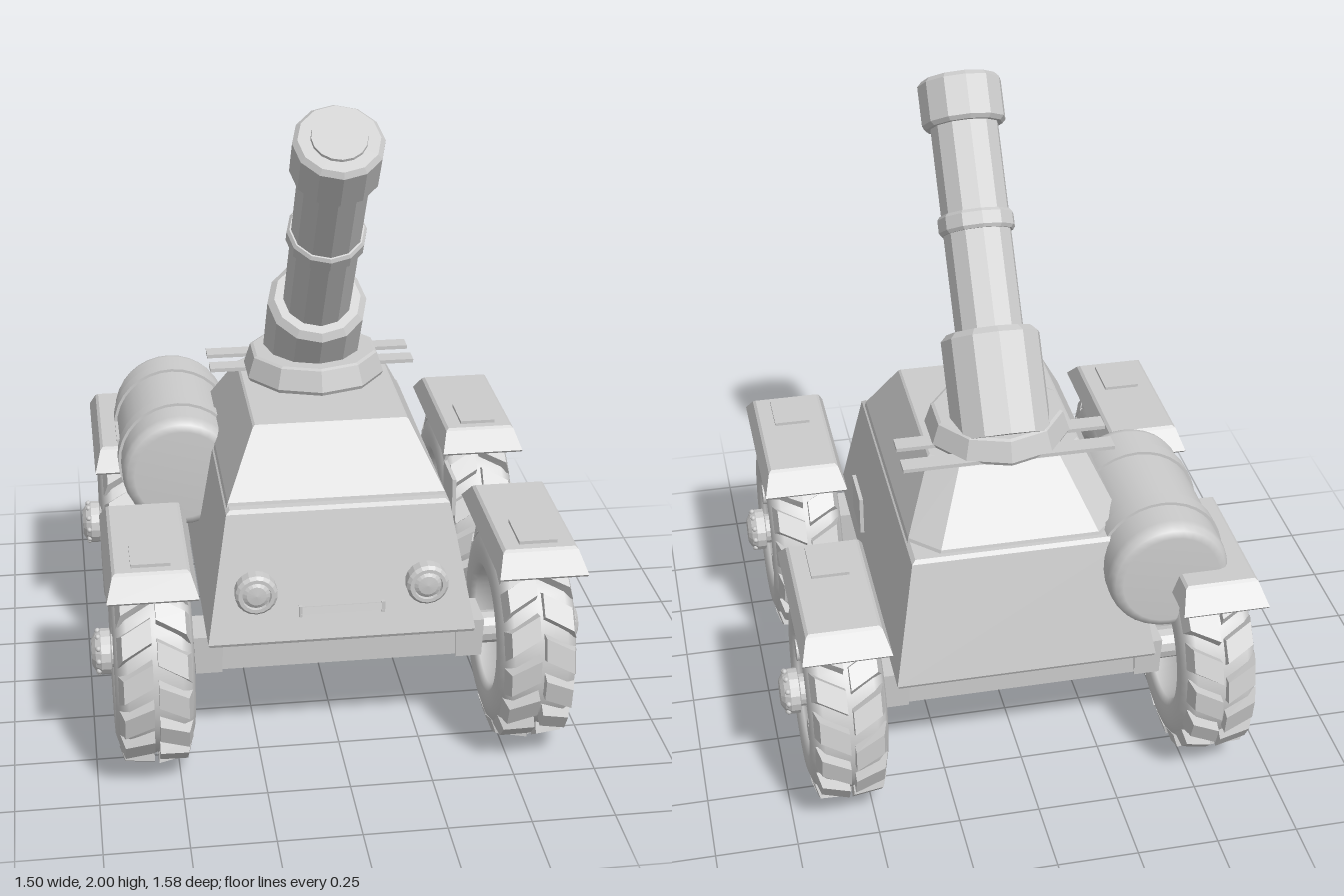
import * as THREE from 'three';

const smooth = new THREE.MeshStandardMaterial({ color: 0xcccccc });
const faceted = new THREE.MeshStandardMaterial({ color: 0xcccccc, flatShading: true });

function add(parent, name, geometry, x = 0, y = 0, z = 0, material = faceted) {
  const mesh = new THREE.Mesh(geometry, material);
  mesh.name = name;
  mesh.position.set(x, y, z);
  parent.add(mesh);
  return mesh;
}

const box = (w, h, d) => new THREE.BoxGeometry(w, h, d);
const lathe = (pts, n) => new THREE.LatheGeometry(pts.map(p => new THREE.Vector2(...p)), n);
const rect = (x, front, back) => [[-x, front], [x, front], [x, back], [-x, back]];

// Closed solid through horizontal loops: layers are [y, [[x, z], ...]]
function loft(layers) {
  const pos = [];
  const n = layers[0][1].length;
  const at = (l, i) => [layers[l][1][i % n][0], layers[l][0], layers[l][1][i % n][1]];
  const top = layers.length - 1;
  for (let l = 0; l < top; l++)
    for (let i = 0; i < n; i++) {
      const a = at(l, i), b = at(l, i + 1), c = at(l + 1, i + 1), d = at(l + 1, i);
      pos.push(...a, ...b, ...c, ...a, ...c, ...d);
    }
  for (let i = 1; i < n - 1; i++) {
    pos.push(...at(0, 0), ...at(0, i + 1), ...at(0, i));
    pos.push(...at(top, 0), ...at(top, i), ...at(top, i + 1));
  }
  const g = new THREE.BufferGeometry();
  g.setAttribute('position', new THREE.Float32BufferAttribute(pos, 3));
  g.computeVertexNormals();
  return g;
}

// Slanted tread block: shear along the travel direction, narrower at the top
function lugGeometry(row) {
  const g = box(0.092, 0.055, 0.088);
  const p = g.attributes.position;
  for (let i = 0; i < p.count; i++) {
    const outer = p.getX(i) * row > 0, up = p.getY(i) > 0;
    const x = row * (outer ? (up ? 0.094 : 0.108) : 0.008);
    const z = p.getZ(i) * (up ? 0.8 : 1) + (Math.abs(x) - 0.055) * 0.55;
    p.setXYZ(i, x, up ? (outer ? 0.331 : 0.34) : 0.285, z);
  }
  return g;
}

function wheel(name, side) {
  const g = new THREE.Group();
  g.name = name;
  // Tyre and rim in one turned profile, hollow on the inner side
  const profile = [[0, 0.0], [0.165, 0.0], [0.18, -0.1], [0.2, -0.115], [0.25, -0.118], [0.29, -0.105],
    [0.308, -0.08], [0.312, 0], [0.308, 0.08], [0.29, 0.105], [0.25, 0.118], [0.205, 0.115], [0.19, 0.1],
    [0.182, 0.085], [0.165, 0.09], [0.15, 0.085], [0.143, 0.068], [0.08, 0.068], [0.07, 0.075], [0, 0.075]];
  const tyre = add(g, 'tyreAndRim', lathe(profile, 40), 0, 0, 0, smooth);
  tyre.rotation.z = -side * Math.PI / 2;
  // Two staggered rows of lugs
  for (const row of [-1, 1]) {
    const geo = lugGeometry(row);
    for (let i = 0; i < 16; i++) {
      const lug = add(g, 'treadLug', geo);
      lug.rotation.x = -(i + (row * side > 0 ? 0.5 : 0)) * Math.PI / 8;
    }
  }
  // Hub cap with a ring of small bolts
  const hub = add(g, 'hubCap', lathe([[0.05, 0.06], [0.05, 0.118], [0.07, 0.122], [0.07, 0.15],
    [0.058, 0.167], [0.04, 0.178], [0, 0.178]], 16));
  hub.rotation.z = -side * Math.PI / 2;
  const boltGeo = new THREE.SphereGeometry(0.009, 8, 6);
  for (let i = 0; i < 10; i++) {
    const a = i * Math.PI / 5;
    add(g, 'hubBolt', boltGeo, side * 0.158, 0.064 * Math.sin(a), 0.064 * Math.cos(a), smooth);
  }
  // Two large studs on the rim disc
  for (const s of [-1, 1]) {
    const stud = add(g, 'rimStud', new THREE.CylinderGeometry(0.034, 0.034, 0.05, 16),
      side * 0.085, s * 0.053, s * 0.13, smooth);
    stud.rotation.z = Math.PI / 2;
  }
  return g;
}

export function createModel() {
  const model = new THREE.Group();
  model.name = 'armouredBuggy';

  // Hull and cabin
  add(model, 'hull', loft([
    [0.4, rect(0.4, 0.57, -0.575)], [0.41, rect(0.405, 0.575, -0.58)],
    [0.79, rect(0.337, 0.475, -0.49)], [0.8, rect(0.325, 0.463, -0.478)]]));
  const cabinLoop = (x, f, b, c) => [[-x, f], [x, f], [x, b + c], [x - c, b], [c - x, b], [-x, b + c]];
  add(model, 'cabin', loft([
    [0.79, cabinLoop(0.333, 0.44, -0.465, 0.085)], [0.81, cabinLoop(0.328, 0.435, -0.46, 0.085)],
    [0.995, cabinLoop(0.237, 0.305, -0.305, 0.08)], [1.0, cabinLoop(0.23, 0.3, -0.298, 0.08)]]));

  // Headlights and front slot
  for (const s of [-1, 1]) {
    const light = add(model, s > 0 ? 'leftHeadlight' : 'rightHeadlight',
      lathe([[0.05, -0.05], [0.055, 0.0], [0.064, 0.01], [0.064, 0.045], [0.055, 0.055],
        [0.044, 0.055], [0.042, 0.045], [0.03, 0.052], [0, 0.055]], 18), s * 0.258, 0.565, 0.52);
    light.rotation.x = Math.PI / 2;
  }
  const slot = add(model, 'frontSlot', box(0.25, 0.022, 0.016), 0, 0.497, 0.551);
  slot.rotation.x = -0.25;
  for (const s of [-1, 1]) add(model, 'slotEnd', box(0.01, 0.035, 0.02), s * 0.125, 0.497, 0.551);

  // Thin plate on the left side
  add(model, 'sidePlate', box(0.012, 0.125, 0.15), 0.415, 0.647, 0.08);

  // Axles, wheels and fenders
  for (const [end, z] of [['front', 0.445], ['rear', -0.445]]) {
    add(model, end + 'Axle', box(0.74, 0.11, 0.12), 0, 0.342, z);
    for (const s of [-1, 1]) {
      const label = end + (s > 0 ? 'Left' : 'Right');
      add(model, label + 'AxleBlock', loft([
        [0.28, rect(0.04, 0.065, -0.065)], [0.405, rect(0.045, 0.07, -0.07)]]), s * 0.4, 0, z);
      const shaft = add(model, label + 'Shaft', new THREE.CylinderGeometry(0.05, 0.05, 0.17, 12), s * 0.52, 0.342, z);
      shaft.rotation.z = Math.PI / 2;

      const w = wheel(label + 'Wheel', s);
      w.position.set(s * 0.572, 0.342, z);
      model.add(w);

      add(model, label + 'Fender', loft([
        [0.65, rect(0.13, 0.287, -0.287)], [0.657, rect(0.133, 0.292, -0.292)],
        [0.713, rect(0.113, 0.232, -0.232)], [0.72, rect(0.104, 0.223, -0.223)]]), s * 0.572, 0, z);
      add(model, label + 'FenderPatch', box(0.115, 0.02, 0.15), s * 0.572, 0.72, z > 0 ? 0.565 : -0.325);
    }
  }

  // Strapped tank on the right side
  const tank = new THREE.Group();
  tank.name = 'sideTank';
  tank.position.set(-0.435, 0.703, -0.305);
  tank.rotation.x = Math.PI / 2;
  add(tank, 'tankBody', lathe([[0, -0.3], [0.15, -0.3], [0.172, -0.292], [0.183, -0.275], [0.187, -0.255],
    [0.187, 0.255], [0.183, 0.275], [0.172, 0.292], [0.15, 0.3], [0, 0.3]], 32), 0, 0, 0, smooth);
  for (const y of [-0.145, 0.145])
    add(tank, 'tankStrap', new THREE.CylinderGeometry(0.196, 0.196, 0.055, 32), 0, y, 0, smooth);
  model.add(tank);

  // Turret ring and the two roof rails beneath it
  add(model, 'turretRing', lathe([[0, 0], [0.22, 0], [0.226, 0.012], [0.205, 0.075], [0.195, 0.08], [0, 0.08]], 10),
    0, 1.0, -0.115);
  for (const z of [-0.28, -0.16]) add(model, 'roofRail', box(0.655, 0.012, 0.058), 0, 1.006, z);

  // Raised gun: socket, barrel, collar and muzzle
  const gun = new THREE.Group();
  gun.name = 'gun';
  gun.position.set(0, 1.018, -0.2);
  gun.rotation.x = THREE.MathUtils.degToRad(36);
  add(gun, 'socket', lathe([[0, 0], [0.155, 0], [0.155, 0.31], [0.135, 0.33], [0, 0.33]], 12));
  add(gun, 'barrel', new THREE.CylinderGeometry(0.107, 0.107, 0.7, 12), 0, 0.67, 0);
  add(gun, 'collar', lathe([[0.1, -0.03], [0.112, -0.03], [0.12, -0.02], [0.12, 0.02], [0.112, 0.03], [0.1, 0.03]], 12),
    0, 0.665, 0);
  add(gun, 'muzzle', lathe([[0, 0.97], [0.12, 0.97], [0.132, 0.982], [0.132, 1.105], [0.118, 1.12], [0, 1.12]], 12));
  add(gun, 'muzzleDisc', new THREE.CylinderGeometry(0.08, 0.084, 0.02, 16), 0, 1.118, 0);
  model.add(gun);

  return model;
}
